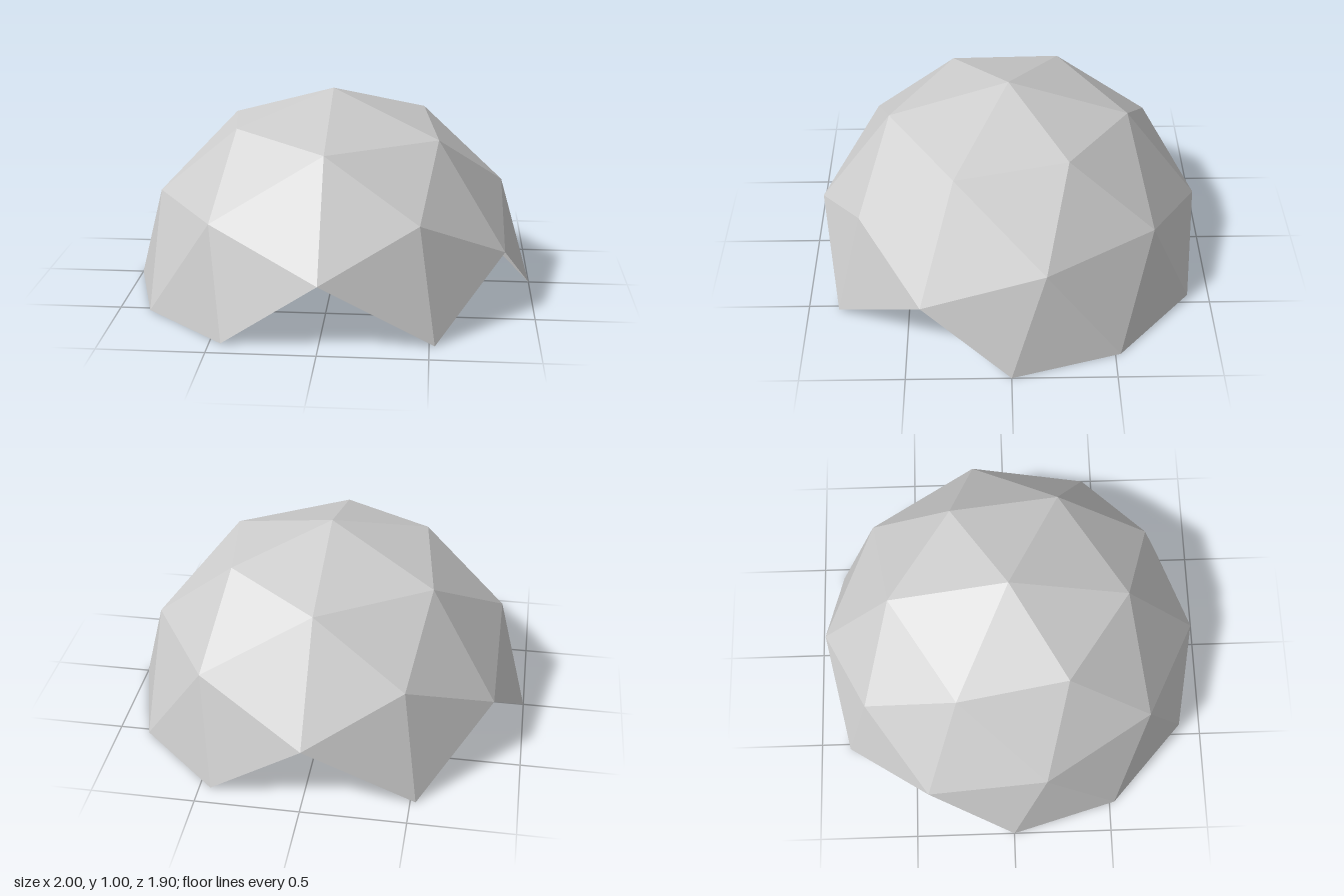
import * as THREE from 'three';

const shellGrey = new THREE.MeshStandardMaterial({ color: 0xcccccc, side: THREE.DoubleSide, flatShading: true });
shellGrey.name = 'shell grey';
const chairGrey = new THREE.MeshStandardMaterial({ color: 0xb4b4b4 });
chairGrey.name = 'chair grey';

// Upper faces of a once-divided icosahedron; faces crossing the ground are left out as doorways
function domeGeometry() {
  const sphere = new THREE.IcosahedronGeometry(1, 1);
  sphere.rotateY(Math.atan(2 / (1 + Math.sqrt(5))));
  const p = sphere.attributes.position;
  const kept = [];
  for (let i = 0; i < p.count; i += 3) {
    const face = [i, i + 1, i + 2];
    if (face.some((k) => p.getY(k) < -0.01)) continue;
    for (const k of face) kept.push(p.getX(k), Math.max(0, p.getY(k)), p.getZ(k));
  }
  const geometry = new THREE.BufferGeometry();
  geometry.setAttribute('position', new THREE.Float32BufferAttribute(kept, 3));
  geometry.computeVertexNormals();
  return geometry;
}

function box(name, w, h, d, x, y, z) {
  const mesh = new THREE.Mesh(new THREE.BoxGeometry(w, h, d), chairGrey);
  mesh.name = name;
  mesh.position.set(x, y, z);
  return mesh;
}

// Thin rod between two points
function rod(name, a, b) {
  const from = new THREE.Vector3(...a);
  const dir = new THREE.Vector3(...b).sub(from);
  const mesh = new THREE.Mesh(new THREE.CylinderGeometry(0.002, 0.002, dir.length(), 6), chairGrey);
  mesh.name = name;
  mesh.position.copy(from).addScaledVector(dir, 0.5);
  mesh.quaternion.setFromUnitVectors(new THREE.Vector3(0, 1, 0), dir.normalize());
  return mesh;
}

// Small low lounge chair on the floor
function createChair() {
  const chair = new THREE.Group();
  chair.name = 'loungeChair';
  chair.add(box('seat', 0.036, 0.01, 0.09, 0, 0.023, 0.072));
  const back = box('backrest', 0.038, 0.07, 0.005, 0, 0.061, 0.108);
  back.rotation.x = 0.25;
  chair.add(back);
  for (const s of [-1, 1]) {
    const x = s * 0.019;
    chair.add(rod('runner', [x, 0.003, 0.02], [x, 0.003, 0.125]));
    chair.add(rod('frontLeg', [x, 0.003, 0.125], [x, 0.065, 0.12]));
    chair.add(rod('rearLeg', [x, 0.003, 0.03], [x, 0.024, 0.03]));
  }
  return chair;
}

export function createModel() {
  const model = new THREE.Group();
  model.name = 'geodesicDome';
  const shell = new THREE.Mesh(domeGeometry(), shellGrey);
  shell.name = 'domeShell';
  model.add(shell, createChair());
  return model;
}
